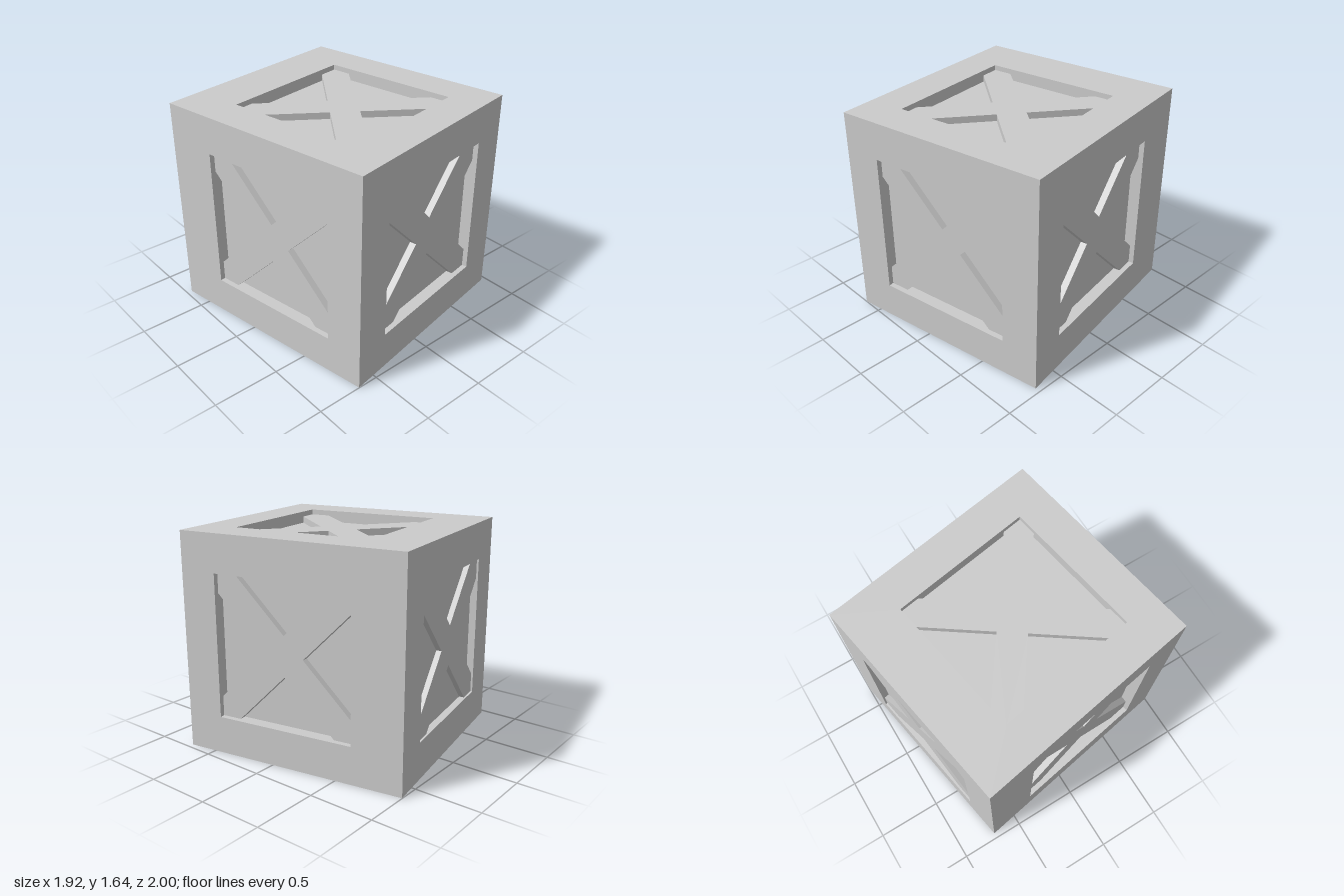
import * as THREE from 'three';

const W = 1.642, H = 1.642, D = 1.738;   // crate size
const A = 0.538;                         // half size of each square opening
const K = 0.15;                          // distance from cross centre to its notches
const SHIFT = 0.052;                     // openings sit a little towards the front

const material = new THREE.MeshStandardMaterial({ color: 0xcccccc, flatShading: true });

function polygon(points) {
  return new THREE.Shape(points.map(([x, y]) => new THREE.Vector2(x, y)));
}

function addMesh(parent, name, geometry) {
  const mesh = new THREE.Mesh(geometry, material);
  mesh.name = name;
  parent.add(mesh);
  return mesh;
}

// Border of one face with a square opening, mitred to meet its neighbours
function frameGeometry(w, h, u, v, depth) {
  const x = w / 2, y = h / 2;
  const shape = polygon([[-x, -y], [x, -y], [x, y], [-x, y]]);
  shape.holes.push(polygon([[u - A, v - A], [u - A, v + A], [u + A, v + A], [u + A, v - A]]));
  const geo = new THREE.ExtrudeGeometry(shape, { depth, bevelEnabled: false });
  geo.translate(0, 0, -depth);
  const p = geo.attributes.position;
  for (let i = 0; i < p.count; i++) {
    if (p.getZ(i) > -depth / 2) continue;
    if (Math.abs(p.getX(i)) > x - 0.001) p.setX(i, Math.sign(p.getX(i)) * (x - depth));
    if (Math.abs(p.getY(i)) > y - 0.001) p.setY(i, Math.sign(p.getY(i)) * (y - depth));
  }
  geo.computeVertexNormals();
  return geo;
}

// Diagonal cross whose arms end in the corners of the opening
function crossGeometry(depth) {
  const points = [];
  let quarter = [[K, 0], [A, A - K], [A, A], [A - K, A]];
  for (let i = 0; i < 4; i++) {
    points.push(...quarter);
    quarter = quarter.map(([x, y]) => [-y, x]);
  }
  return new THREE.ExtrudeGeometry(polygon(points), { depth, bevelEnabled: false });
}

// One face: border, sunken panel and cross brace
function createFace({ name, w, h, pos, rot, u = 0, v = 0, depth = 0.09, recess = 0.04 }) {
  const face = new THREE.Group();
  face.name = name;
  addMesh(face, 'frame', frameGeometry(w, h, u, v, depth));
  addMesh(face, 'panel', new THREE.PlaneGeometry(2 * A, 2 * A)).position.set(u, v, -depth);
  addMesh(face, 'crossBrace', crossGeometry(depth - recess)).position.set(u, v, -depth);
  face.position.set(...pos);
  face.rotation.set(...rot);
  return face;
}

export function createModel() {
  const model = new THREE.Group();
  model.name = 'crate';
  const q = Math.PI / 2;
  const faces = [
    { name: 'frontFace', w: W, h: H, pos: [0, H / 2, D / 2], rot: [0, 0, 0] },
    { name: 'backFace', w: W, h: H, pos: [0, H / 2, -D / 2], rot: [0, 2 * q, 0], depth: 0.055, recess: 0.015 },
    { name: 'leftFace', w: D, h: H, pos: [W / 2, H / 2, 0], rot: [0, q, 0], u: -SHIFT },
    { name: 'rightFace', w: D, h: H, pos: [-W / 2, H / 2, 0], rot: [0, -q, 0], u: SHIFT },
    { name: 'topFace', w: W, h: D, pos: [0, H, 0], rot: [-q, 0, 0], v: -SHIFT },
    { name: 'bottomFace', w: W, h: D, pos: [0, 0, 0], rot: [q, 0, 0], v: SHIFT },
  ];
  for (const face of faces) model.add(createFace(face));
  // The crate stands slightly turned
  model.rotation.y = THREE.MathUtils.degToRad(10);
  const root = new THREE.Group();
  root.name = 'turnedCrate';
  root.add(model);
  return root;
}
